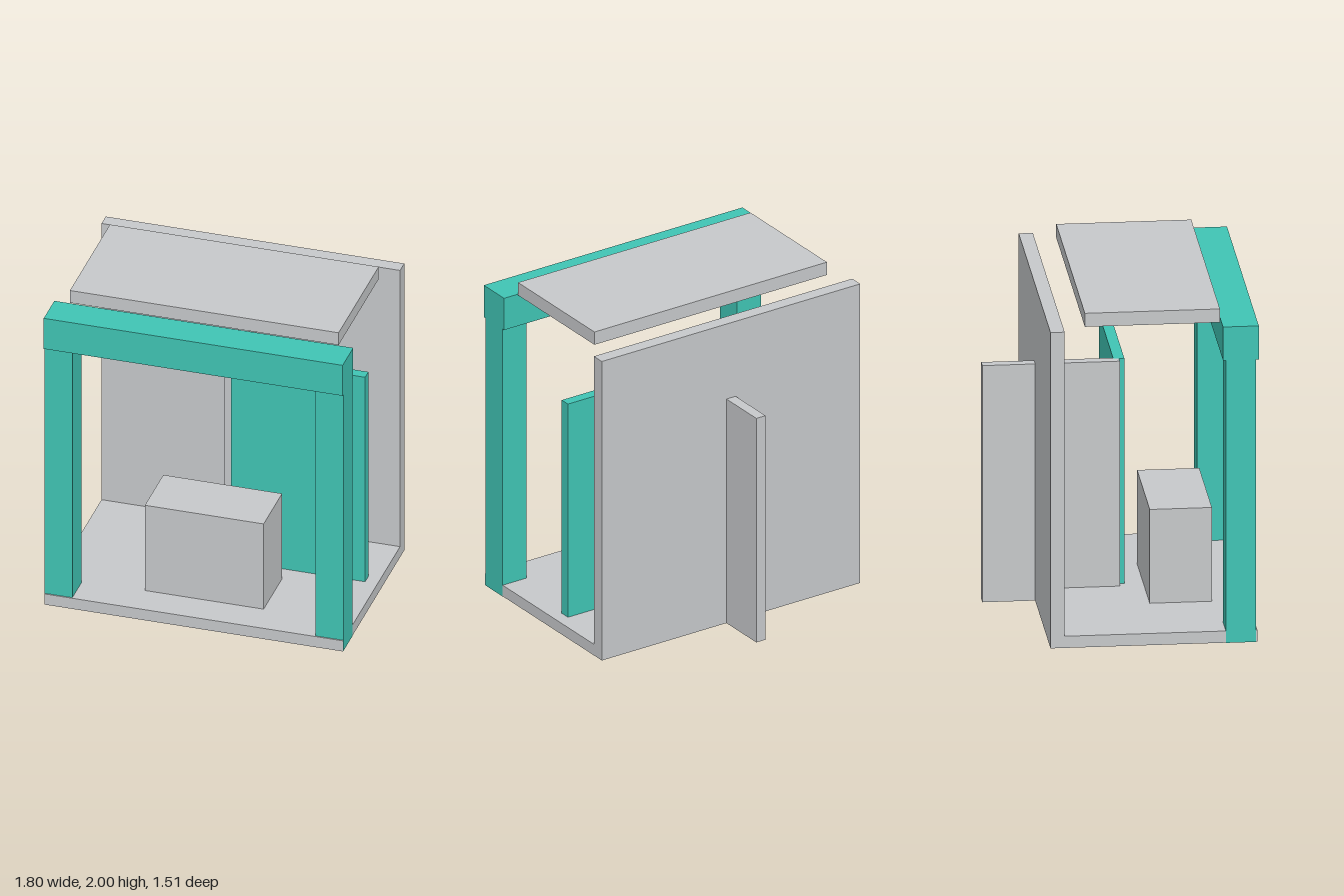
import * as THREE from 'three';

export function createModel() {
  const group = new THREE.Group();
  const grey = new THREE.MeshStandardMaterial({ name: 'light grey', color: 0xc6c8ca });
  const teal = new THREE.MeshStandardMaterial({ name: 'teal', color: 0x40c4b4 });

  // Box given by its extents along each axis
  function block(name, material, [x0, x1], [y0, y1], [z0, z1]) {
    const mesh = new THREE.Mesh(new THREE.BoxGeometry(x1 - x0, y1 - y0, z1 - z0), material);
    mesh.position.set((x0 + x1) / 2, (y0 + y1) / 2, (z0 + z1) / 2);
    mesh.name = name;
    group.add(mesh);
  }

  // Floor and back wall, a hair inside the teal feet that pass through the floor
  block('floor', grey, [-0.9, 0.9], [0.001, 0.072], [-0.45, 0.748]);
  block('backWall', grey, [-0.9, 0.9], [0.001, 1.92], [-0.45, -0.368]);

  // Fin passing through the back wall, with the panel across its front end
  block('centreFin', grey, [-0.032, 0.032], [0.001, 1.439], [-0.756, 0.04]);
  block('dividerPanel', teal, [0.015, 0.825], [0, 1.44], [0.007, 0.071]);

  // Front frame
  for (const side of [-1, 1]) {
    const xs = side < 0 ? [-0.901, -0.733] : [0.733, 0.901];
    block(side < 0 ? 'rightPost' : 'leftPost', teal, xs, [0, 1.73], [0.565, 0.741]);
  }
  block('lintel', teal, [-0.901, 0.901], [1.716, 1.92], [0.549, 0.756]);

  // Counter and floating roof slab
  block('counter', grey, [-0.358, 0.358], [0.07, 0.642], [0.18, 0.54]);
  block('roofSlab', grey, [-0.81, 0.81], [1.918, 2], [-0.242, 0.54]);

  return group;
}
